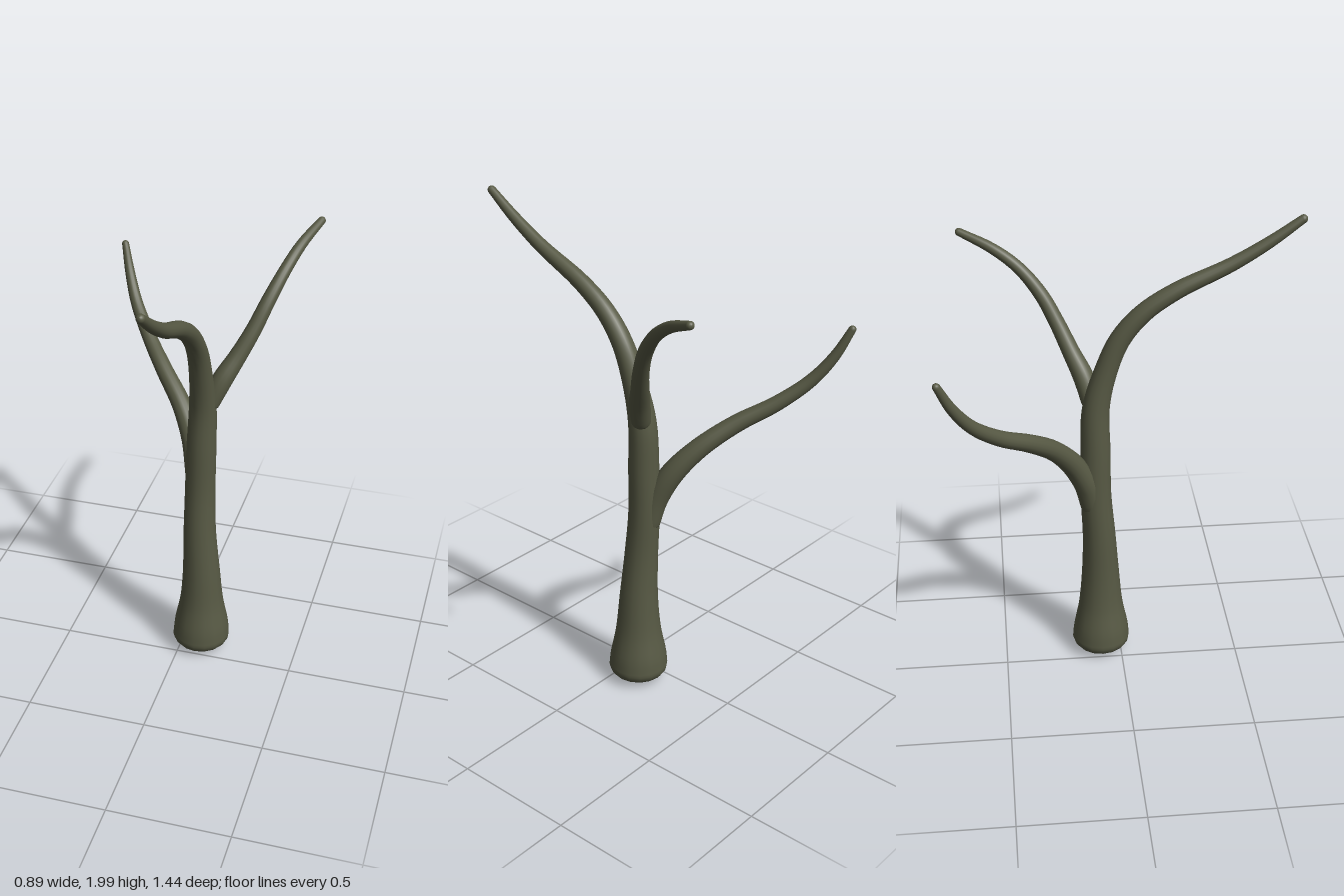
import * as THREE from 'three';

const SIDES = 16;

// Sweeps a circle along control points [x, y, z, radius], with domed ends.
function limb(name, points, material, startDepth) {
  const path = new THREE.CatmullRomCurve3(points.map(p => new THREE.Vector3(p[0], p[1], p[2])));
  const radii = new THREE.CatmullRomCurve3(points.map(p => new THREE.Vector3(p[3], p[1], 0)));
  const rings = [];
  const addRing = (t, radiusScale, shift) => {
    const tangent = path.getTangent(t);
    const centre = path.getPoint(t).addScaledVector(tangent, shift);
    rings.push({ centre, tangent, radius: radii.getPoint(t).x * radiusScale });
  };

  // Start dome, body, tip dome
  for (let i = 0; i < 6; i++) {
    const a = (i / 6) * Math.PI / 2;
    addRing(0, Math.sin(a), -startDepth * Math.cos(a));
  }
  const steps = (points.length - 1) * 5;
  for (let i = 0; i <= steps; i++) addRing(i / steps, 1, 0);
  const tipRadius = points[points.length - 1][3];
  for (let i = 1; i <= 4; i++) {
    const a = (i / 4) * Math.PI / 2;
    addRing(1, Math.cos(a), tipRadius * Math.sin(a));
  }

  const positions = [];
  const index = [];
  const normal = new THREE.Vector3(1, 0, 0);
  const binormal = new THREE.Vector3();
  const v = new THREE.Vector3();
  rings.forEach(({ centre, tangent, radius }, i) => {
    // Carry the ring's direction along the path without twisting
    normal.addScaledVector(tangent, -normal.dot(tangent)).normalize();
    binormal.crossVectors(tangent, normal);
    for (let j = 0; j < SIDES; j++) {
      const a = (j / SIDES) * Math.PI * 2;
      v.copy(centre)
        .addScaledVector(normal, radius * Math.cos(a))
        .addScaledVector(binormal, radius * Math.sin(a));
      positions.push(v.x, v.y, v.z);
      if (i === rings.length - 1) continue;
      const k = (j + 1) % SIDES;
      const p = i * SIDES;
      const q = p + SIDES;
      index.push(p + j, p + k, q + j, p + k, q + k, q + j);
    }
  });
  const geometry = new THREE.BufferGeometry();
  geometry.setAttribute('position', new THREE.Float32BufferAttribute(positions, 3));
  geometry.setIndex(index);
  geometry.computeVertexNormals();
  const mesh = new THREE.Mesh(geometry, material);
  mesh.name = name;
  return mesh;
}

export function createModel() {
  const bark = new THREE.MeshStandardMaterial({ color: 0x575944 });
  bark.name = 'bark';
  const tree = new THREE.Group();
  tree.name = 'bareTree';

  // Trunk with a swollen foot, bending forward into the top branch
  tree.add(limb('trunk', [
    [0.085, 0.07, -0.085, 0.123],
    [0.085, 0.13, -0.085, 0.117],
    [0.085, 0.25, -0.085, 0.094],
    [0.083, 0.40, -0.085, 0.08],
    [0.073, 0.60, -0.09, 0.069],
    [0.07, 0.80, -0.102, 0.064],
    [0.073, 1.00, -0.102, 0.062],
    [0.078, 1.20, -0.098, 0.056],
    [0.08, 1.36, -0.058, 0.047],
    [0.08, 1.50, 0.00, 0.042],
    [0.077, 1.61, 0.09, 0.038],
    [0.075, 1.70, 0.22, 0.034],
    [0.075, 1.80, 0.43, 0.028],
    [0.075, 1.89, 0.58, 0.023],
    [0.075, 1.976, 0.70, 0.017],
  ], bark, 0.063));

  // Upper branch, reaching back to the left
  tree.add(limb('upperBranch', [
    [0.105, 1.22, -0.115, 0.04],
    [0.145, 1.31, -0.142, 0.042],
    [0.195, 1.40, -0.187, 0.036],
    [0.245, 1.50, -0.235, 0.032],
    [0.29, 1.61, -0.295, 0.029],
    [0.335, 1.71, -0.38, 0.025],
    [0.375, 1.78, -0.48, 0.022],
    [0.428, 1.835, -0.61, 0.016],
  ], bark, 0.03));

  // Lower branch, reaching back to the right
  tree.add(limb('lowerBranch', [
    [0.062, 0.76, -0.118, 0.05],
    [0.045, 0.86, -0.142, 0.05],
    [0.01, 0.98, -0.198, 0.047],
    [-0.06, 1.09, -0.275, 0.041],
    [-0.165, 1.19, -0.375, 0.036],
    [-0.265, 1.275, -0.49, 0.031],
    [-0.35, 1.375, -0.59, 0.026],
    [-0.4, 1.48, -0.658, 0.021],
    [-0.434, 1.59, -0.706, 0.015],
  ], bark, 0.03));

  return tree;
}
